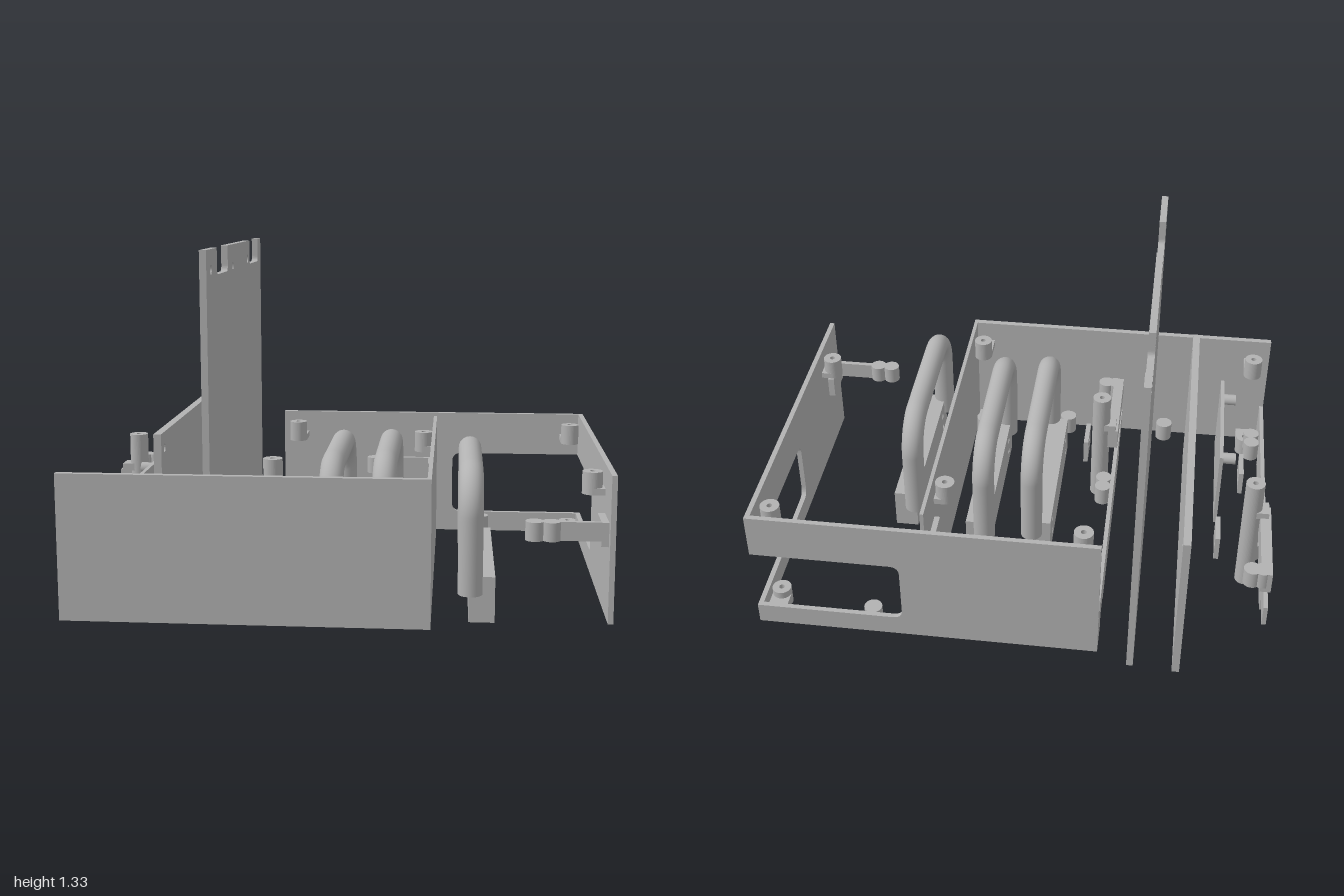
import * as THREE from 'three';

const grey = new THREE.MeshStandardMaterial({ color: 0xb2b2b2 });
grey.name = 'plain grey';

function add(parent, name, geo) {
  const m = new THREE.Mesh(geo, grey);
  m.name = name;
  parent.add(m);
  return m;
}

// Box from its limits, in any order
function box(parent, name, [x0, x1], [y0, y1], [z0, z1]) {
  const g = new THREE.BoxGeometry(Math.abs(x1 - x0), y1 - y0, Math.abs(z1 - z0));
  add(parent, name, g.translate((x0 + x1) / 2, (y0 + y1) / 2, (z0 + z1) / 2));
}

// Upright round peg
function peg(parent, name, x, z, y0, y1, r = 0.034) {
  add(parent, name, new THREE.CylinderGeometry(r, r, y1 - y0, 24).translate(x, (y0 + y1) / 2, z));
}

// Upright boss with a screw hole
function boss(parent, name, x, z, y0, y1) {
  const s = new THREE.Shape().absarc(0, 0, 0.038, 0, Math.PI * 2);
  s.holes.push(new THREE.Path().absarc(0, 0, 0.011, 0, Math.PI * 2, true));
  const g = new THREE.ExtrudeGeometry(s, { depth: y1 - y0, bevelEnabled: false, curveSegments: 24 });
  add(parent, name, g.rotateX(-Math.PI / 2).translate(x, y0, z));
}

// Outline with optional rounded corners: points are [u, v, radius]
function outline(pts) {
  const s = new THREE.Shape();
  pts.forEach(([u, v, r = 0], i) => {
    const p = new THREE.Vector2(u, v);
    const toward = q => new THREE.Vector2(q[0], q[1]).sub(p).setLength(r).add(p);
    const a = r ? toward(pts[(i + pts.length - 1) % pts.length]) : p;
    const b = r ? toward(pts[(i + 1) % pts.length]) : p;
    if (i) s.lineTo(a.x, a.y); else s.moveTo(a.x, a.y);
    if (r) s.quadraticCurveTo(u, v, b.x, b.y);
  });
  s.closePath();
  return s;
}

// Plate across x, drawn in (z, y), with holes [z, y, radius]
function plateX(parent, name, [x0, x1], pts, holes = []) {
  const s = outline(pts);
  holes.forEach(([z, y, r]) => s.holes.push(new THREE.Path().absarc(z, y, r, 0, Math.PI * 2, true)));
  const g = new THREE.ExtrudeGeometry(s, { depth: x1 - x0, bevelEnabled: false, curveSegments: 8 });
  add(parent, name, g.rotateY(-Math.PI / 2).translate(x1, 0, 0));
}
const rect = (z0, z1, y0, y1) => [[z0, y0], [z1, y0], [z1, y1], [z0, y1]];

// Rail, bosses and clips shared by both housing halves; fz places the second half back to front
function fittings(name, dx, fz) {
  const g = new THREE.Group();
  g.name = name;
  const X = (a, b) => [a + dx, b + dx];
  const Z = (a, b) => [fz(a), fz(b)];

  // Low side rail with a stepped lower edge
  plateX(g, 'sideRail', X(-1, -0.983), [
    [0.735, 0], [0.62, 0], [0.62, 0.06], [0.5, 0.06], [0.5, 0.03], [-0.42, 0.03],
    [-0.42, 0.1], [-0.57, 0.1], [-0.57, 0.19], [0.735, 0.19]].map(([z, y]) => [fz(z), y]));

  // Corner bosses on tabs, top and bottom
  for (const x of [-0.925, 0.29]) {
    box(g, 'bossTab', X(x - 0.038, x + 0.038), [0.43, 0.455], Z(0.64, 0.74));
    boss(g, 'upperBoss', x + dx, fz(0.64), 0.43, 0.515);
    box(g, 'bossTab', X(x - 0.038, x + 0.038), [0.02, 0.05], Z(0.64, 0.74));
    boss(g, 'lowerBoss', x + dx, fz(0.64), 0, 0.08);
  }

  // Pegs along the end panel and the rail
  for (const x of [-0.55, -0.1]) peg(g, 'panelPeg', x + dx, fz(0.7), 0, 0.08, 0.036);
  for (const z of [-0.08, -0.14, 0.525, 0.59]) peg(g, 'railPeg', -0.95 + dx, fz(z), 0.06, 0.14);

  // Tall post carrying an arm with two pegs
  boss(g, 'tallPost', -0.925 + dx, fz(-0.215), 0, 0.515);
  box(g, 'postTab', X(-0.99, -0.925), [0.36, 0.39], Z(-0.25, -0.18));
  box(g, 'postArm', X(-1, -0.957), [0.275, 0.365], Z(-0.57, -0.18));
  for (const x of [-0.965, -0.925]) peg(g, 'armPeg', x + dx, fz(-0.54), 0.295, 0.365);

  // Wall boss, clip plate and clip arm with two pegs
  boss(g, 'wallBoss', 0.29 + dx, fz(-0.36), 0.43, 0.515);
  box(g, 'bossTab', X(0.29, 0.335), [0.43, 0.455], Z(-0.398, -0.322));
  box(g, 'clipPlate', X(0.308, 0.335), [0.275, 0.365], Z(-0.55, -0.4));
  box(g, 'clipArm', X(0.13, 0.335), [0.295, 0.365], Z(-0.55, -0.53));
  for (const x of [0.07, 0.13]) peg(g, 'clipPeg', x + dx, fz(-0.54), 0.295, 0.365);
  return g;
}

// Hoop of round pipe standing in a bar
function hoop(parent, x, z0, z1) {
  const r = 0.045, b = 0.14, k = b * 0.448, y0 = 0.105, y1 = 0.575 - r;
  const a = z0 + r, c = z1 - r;
  const v = (y, z) => new THREE.Vector3(x, y, z);
  const path = new THREE.CurvePath();
  path.add(new THREE.LineCurve3(v(y0, a), v(y1 - b, a)));
  path.add(new THREE.CubicBezierCurve3(v(y1 - b, a), v(y1 - k, a), v(y1, a + k), v(y1, a + b)));
  path.add(new THREE.LineCurve3(v(y1, a + b), v(y1, c - b)));
  path.add(new THREE.CubicBezierCurve3(v(y1, c - b), v(y1, c - k), v(y1 - k, c), v(y1 - b, c)));
  path.add(new THREE.LineCurve3(v(y1 - b, c), v(y0, c)));
  add(parent, 'pipeHoop', new THREE.TubeGeometry(path, 90, r, 24));
  for (const z of [a, c])
    add(parent, 'pipeEnd', new THREE.CircleGeometry(r, 24).rotateX(Math.PI / 2).translate(x, y0, z));
}

export function createModel() {
  const model = new THREE.Group();
  model.name = 'explodedEnclosure';
  const H = 0.545;

  // Front housing half: closed panel and inner side wall
  const front = fittings('frontHousing', 0, z => z);
  box(front, 'frontPanel', [-1, 0.345], [0, H], [0.735, 0.76]);
  box(front, 'sideWall', [0.33, 0.345], [0, H], [-0.595, 0.735]);
  model.add(front);

  // Rear housing half: a window wraps round its corner
  const rear = fittings('rearHousing', 0.645, z => 0.058 - z);
  plateX(rear, 'windowedSideWall', [0.98, 1], [
    [0.648, 0], [-0.68, 0], [-0.68, 0.087], [-0.02, 0.087, 0.04],
    [-0.02, 0.36, 0.04], [-0.68, 0.36], [-0.68, H], [0.648, H]]);
  const back = new THREE.ExtrudeGeometry(outline([
    [-0.355, 0], [1, 0], [1, 0.087], [0.415, 0.087, 0.04],
    [0.415, 0.36, 0.04], [1, 0.36], [1, H], [-0.355, H]]), { depth: 0.02, bevelEnabled: false });
  add(rear, 'windowedBackPanel', back.translate(0, 0, -0.7));
  model.add(rear);

  // Tall notched plate
  plateX(model, 'tallPlate', [-0.498, -0.472], [
    [-0.755, 0], [0.577, 0], [0.577, 1.33], [0.36, 1.33], [0.36, 1.23, 0.025], [0.122, 1.23, 0.025],
    [0.122, 1.33], [-0.43, 1.33], [-0.43, 1.23, 0.025], [-0.67, 1.23, 0.025], [-0.67, 1.33], [-0.755, 1.33]],
  [[0.485, 1.255, 0.018], [0.002, 1.245, 0.015], [-0.375, 1.255, 0.018]]);

  // Mid-height board with corner holes
  plateX(model, 'mountingBoard', [-0.677, -0.648], rect(-0.765, 0.588, 0, 0.66),
    [-0.69, 0.53].flatMap(z => [[z, 0.06, 0.016], [z, 0.6, 0.016]]));

  // Small circuit board on two standoffs
  plateX(model, 'smallBoard', [-0.802, -0.787], rect(0.005, 0.552, 0.1, 0.45), [[0.1, 0.2, 0.012], [0.45, 0.2, 0.012]]);
  for (const z of [0.045, 0.455])
    add(model, 'standoff', new THREE.CylinderGeometry(0.023, 0.023, 0.055, 20)
      .rotateZ(Math.PI / 2).translate(-0.826, 0.42, z));

  // Little two-hole plates
  for (const [x, z] of [[-0.9, 0.3], [-0.803, -0.13], [-0.21, 0.435]])
    plateX(model, 'twoHolePlate', [x - 0.01, x + 0.01], rect(z - 0.07, z + 0.07, 0.08, 0.19),
      [[z - 0.035, 0.135, 0.014], [z + 0.035, 0.135, 0.014]]);

  // Three pipe hoops, each with its base bar
  for (const [x, z0, bx] of [[-0.03, -0.21, -0.11], [0.165, -0.24, 0.148], [0.485, -0.1, 0.48]]) {
    const g = new THREE.Group();
    g.name = 'hoopUnit';
    hoop(g, x, z0, z0 + 0.803);
    plateX(g, 'baseBar', [bx, bx + 0.095], rect(z0 + 0.04, z0 + 0.763, 0, 0.17),
      [[z0 + 0.13, 0.055, 0.014], [z0 + 0.13, 0.115, 0.014], [z0 + 0.67, 0.055, 0.014], [z0 + 0.67, 0.115, 0.014]]);
    model.add(g);
  }
  return model;
}
